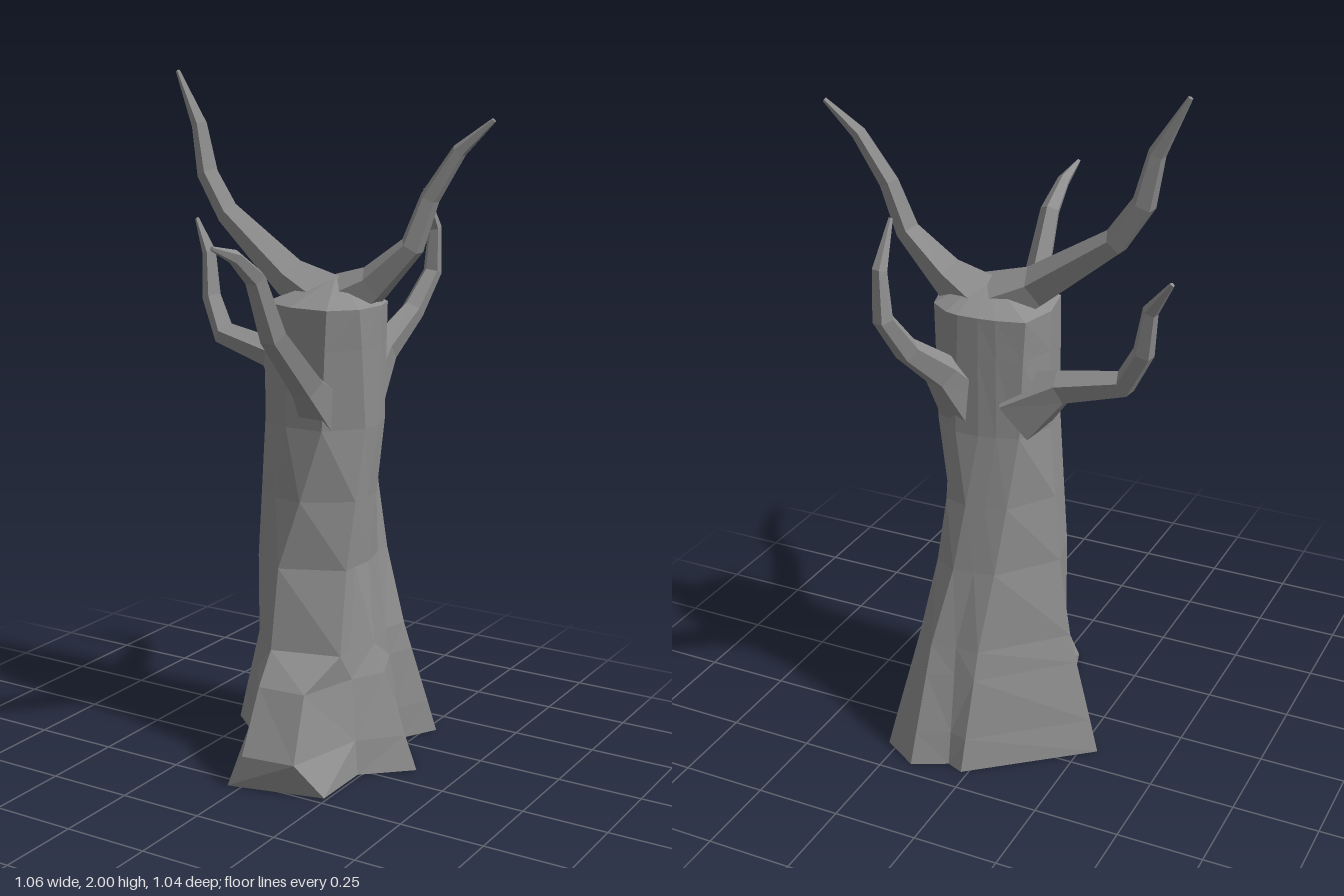
import * as THREE from 'three';

const material = new THREE.MeshStandardMaterial({ color: 0x8e8e8e, flatShading: true, side: THREE.DoubleSide });

// Skin a stack of equal-sized loops, open below and closed above with a fan
function loft(name, loops, top) {
  const pos = [];
  const tri = (a, b, c) => [a, b, c].forEach((p) => pos.push(p.x, p.y, p.z));
  const n = loops[0].length;
  const last = loops[loops.length - 1];
  for (let i = 0; i < n; i++) {
    const j = (i + 1) % n;
    for (let k = 0; k < loops.length - 1; k++) {
      const lo = loops[k], hi = loops[k + 1];
      // Split each quad along its shorter diagonal
      if (lo[i].distanceTo(hi[j]) < lo[j].distanceTo(hi[i])) {
        tri(lo[i], lo[j], hi[j]);
        tri(lo[i], hi[j], hi[i]);
      } else {
        tri(lo[i], lo[j], hi[i]);
        tri(lo[j], hi[j], hi[i]);
      }
    }
    tri(last[i], last[j], top);
  }
  const geometry = new THREE.BufferGeometry();
  geometry.setAttribute('position', new THREE.Float32BufferAttribute(pos, 3));
  geometry.computeVertexNormals();
  const mesh = new THREE.Mesh(geometry, material);
  mesh.name = name;
  return mesh;
}

// Tapered five-sided limb; each point is [x, y, z, radius]
function branch(name, points) {
  const centers = points.map((p) => new THREE.Vector3(p[0], p[1], p[2]));
  const heading = centers[2].clone().sub(centers[0]).setY(0).normalize();
  const side = new THREE.Vector3(0, 1, 0).cross(heading);
  const loops = centers.map((c, i) => {
    const before = centers[Math.max(i - 1, 0)];
    const after = centers[Math.min(i + 1, centers.length - 1)];
    const tangent = after.clone().sub(before).normalize();
    const normal = tangent.clone().cross(side).normalize();
    return Array.from({ length: 5 }, (_, s) => {
      const a = (s / 5) * Math.PI * 2 + Math.PI / 2;
      return c.clone()
        .addScaledVector(side, Math.cos(a) * points[i][3])
        .addScaledVector(normal, Math.sin(a) * points[i][3]);
    });
  });
  return loft(name, loops, centers[centers.length - 1]);
}

// Trunk outlines as [x, z], running front, +x, back, -x and twisting with height
const foot = [[-0.04, 0.29], [0.24, 0.22], [0.24, 0.03], [0.37, -0.09], [0.22, -0.28], [0.28, -0.39],
  [0.17, -0.458], [0.07, -0.41], [0.02, -0.43], [-0.3, -0.17], [-0.14, -0.03], [-0.09, 0.13]];
const flare = [[0, 0.12], [0.2, 0.065], [0.195, 0], [0.225, -0.09], [0.19, -0.22], [0.21, -0.3],
  [0.14, -0.37], [0.07, -0.35], [0, -0.35], [-0.2, -0.15], [-0.13, -0.02], [-0.08, 0.05]];
const waist = [[0, 0.08], [0.18, 0], [0.18, -0.05], [0.185, -0.12], [0.16, -0.22], [0.16, -0.28],
  [0.09, -0.32], [0.03, -0.31], [-0.03, -0.3], [-0.16, -0.14], [-0.125, -0.01], [-0.07, 0.04]];
const neck = [[0.12, 0.04], [0.205, -0.06], [0.21, -0.13], [0.19, -0.2], [0.13, -0.245], [0.1, -0.27],
  [0.03, -0.27], [-0.02, -0.26], [-0.08, -0.24], [-0.125, -0.13], [-0.1, -0.01], [0, 0.04]];
const crown = [[0.14, 0.05], [0.205, -0.02], [0.215, -0.13], [0.19, -0.21], [0.13, -0.255], [0.09, -0.265],
  [0.03, -0.265], [-0.02, -0.26], [-0.1, -0.24], [-0.125, -0.13], [-0.1, -0.01], [0.02, 0.045]];

const mix = (a, b, t) => a.map((p, i) => [p[0] + (b[i][0] - p[0]) * t, p[1] + (b[i][1] - p[1]) * t]);
const ring = (outline, y) => outline.map(([x, z]) => new THREE.Vector3(x, y, z));

function trunk() {
  // The front root bulges out before meeting the trunk
  const toe = mix(foot, flare, 0.27);
  toe[0] = [0.01, 0.29];
  toe[1] = [0.17, 0.27];
  const instep = mix(foot, flare, 0.77);
  instep[0] = [0.01, 0.2];
  instep[1] = [0.155, 0.19];
  const loops = [
    ring(foot, 0), ring(toe, 0.1), ring(instep, 0.28), ring(flare, 0.365), ring(waist, 0.6),
    ring(mix(waist, neck, 0.5), 0.8), ring(neck, 1.01), ring(mix(neck, crown, 0.6), 1.24), ring(crown, 1.355),
  ];
  return loft('trunk', loops, new THREE.Vector3(0.07, 1.43, -0.12));
}

export function createModel() {
  const tree = new THREE.Group();
  tree.name = 'bareTree';
  tree.add(trunk());

  // Two limbs growing from the crown
  tree.add(branch('tallTopBranch', [
    [0.08, 1.33, -0.12, 0.1], [-0.08, 1.415, -0.12, 0.06], [-0.315, 1.585, -0.15, 0.038],
    [-0.395, 1.7, -0.16, 0.034], [-0.43, 1.84, -0.17, 0.025], [-0.518, 1.995, -0.185, 0.007]]));
  tree.add(branch('shortTopBranch', [
    [0.05, 1.33, -0.13, 0.1], [0.19, 1.415, -0.13, 0.055], [0.305, 1.525, -0.135, 0.036],
    [0.35, 1.66, -0.15, 0.029], [0.43, 1.79, -0.165, 0.022], [0.525, 1.875, -0.18, 0.007]]));

  // Three limbs growing from the trunk sides, each on a swollen collar
  tree.add(branch('frontBranch', [
    [0.09, 1.06, -0.03, 0.085], [0.085, 1.145, 0.065, 0.05], [0.085, 1.31, 0.24, 0.039],
    [0.085, 1.475, 0.325, 0.03], [0.085, 1.54, 0.42, 0.02], [0.082, 1.572, 0.52, 0.006]]));
  tree.add(branch('sideBranch', [
    [-0.06, 1.08, -0.17, 0.105], [-0.19, 1.17, -0.195, 0.048], [-0.37, 1.215, -0.2, 0.038],
    [-0.43, 1.32, -0.225, 0.031], [-0.455, 1.45, -0.25, 0.023], [-0.525, 1.547, -0.285, 0.007]]));
  tree.add(branch('backBranch', [
    [0.1, 1.08, -0.2, 0.085], [0.125, 1.2, -0.3, 0.05], [0.16, 1.3, -0.42, 0.036],
    [0.185, 1.41, -0.495, 0.029], [0.195, 1.54, -0.485, 0.021], [0.195, 1.66, -0.42, 0.006]]));
  return tree;
}
